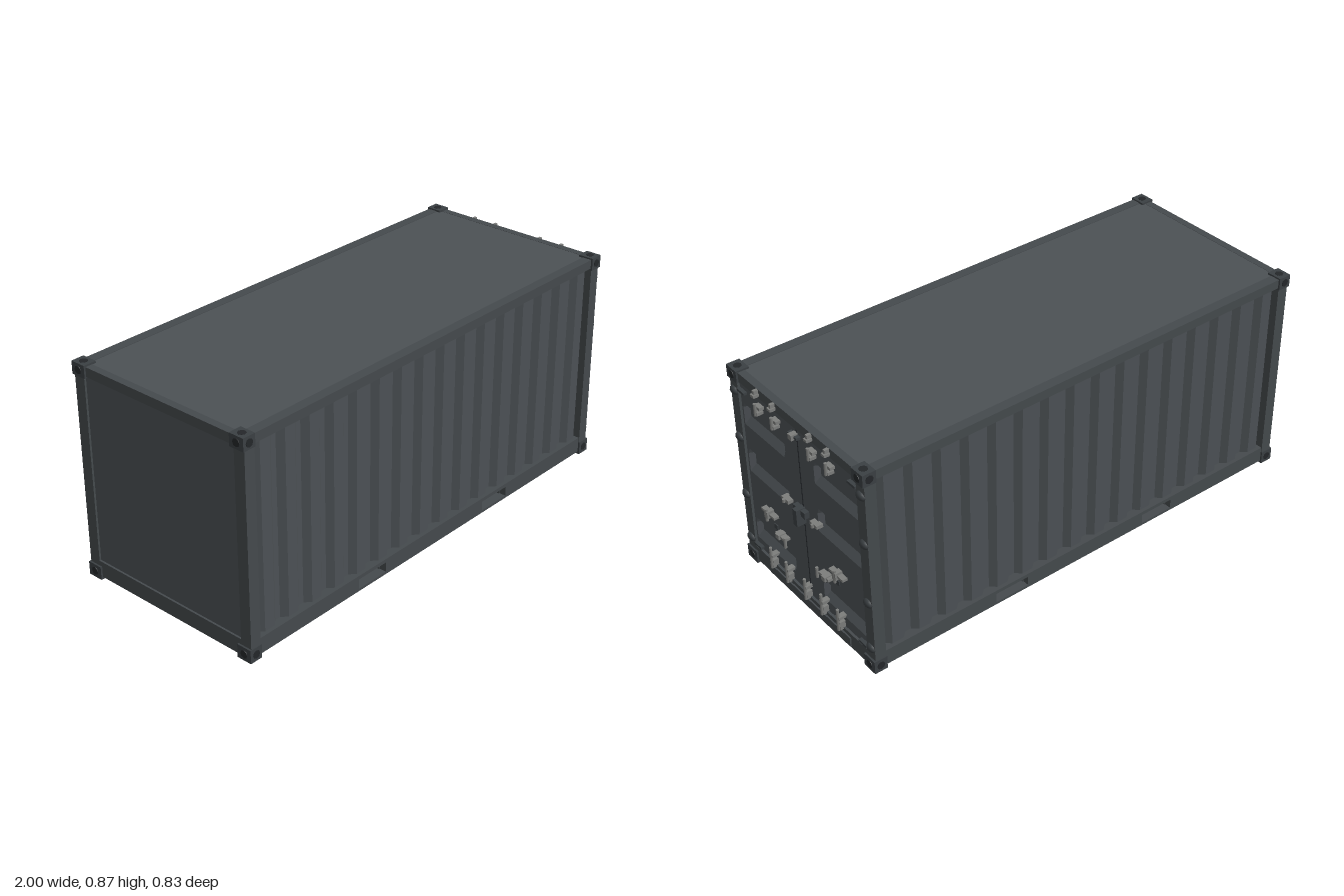
import * as THREE from 'three';

const material = (name, color) => new THREE.MeshStandardMaterial({ name, color });

export function createModel() {
  const root = new THREE.Group();
  root.name = 'shippingContainer';
  const body = new THREE.Group();
  body.name = 'containerBody';
  body.position.x = -0.0125; // leaves room for the door gear at +x
  root.add(body);

  const panelMat = material('panel grey', 0x4c5155);
  const frameMat = material('frame grey', 0x454a4d);
  const cornerMat = material('casting grey', 0x3b4043);
  const darkMat = material('opening dark', 0x24272a);
  const gearMat = material('gear steel', 0x7c7d7b);

  const add = (name, geo, mat, x = 0, y = 0, z = 0) => {
    const m = new THREE.Mesh(geo, mat);
    m.name = name;
    m.position.set(x, y, z);
    body.add(m);
    return m;
  };
  // Box given by its limits on each axis
  const span = (name, mat, x0, x1, y0, y1, z0, z1) =>
    add(name, new THREE.BoxGeometry(x1 - x0, y1 - y0, z1 - z0), mat, (x0 + x1) / 2, (y0 + y1) / 2, (z0 + z1) / 2);

  const L = 0.9875, W = 0.415, H = 0.873;

  // Roof, floor and underside
  span('roof', panelMat, -0.975, 0.975, 0.85, 0.865, -0.405, 0.405);
  span('floor', panelMat, -0.97, 0.97, 0.064, 0.074, -0.39, 0.39);
  span('underside', panelMat, -0.97, 0.97, 0.01, 0.018, -0.39, 0.39);

  // Corrugated side wall, one trapezoid rib per step
  const ribs = 16, half = 0.94, pitch = (2 * half) / ribs;
  const wallShape = new THREE.Shape();
  wallShape.moveTo(-half, -0.36);
  for (let i = 0; i < ribs; i++) {
    const x = -half + i * pitch;
    [[0, 0.372], [0.2, 0.372], [0.4, 0.393], [0.8, 0.393], [1, 0.372]]
      .forEach(([t, z]) => wallShape.lineTo(x + t * pitch, -z));
  }
  wallShape.lineTo(half, -0.36);
  const wallGeo = new THREE.ExtrudeGeometry(wallShape, { depth: 0.77, bevelEnabled: false });
  wallGeo.rotateX(-Math.PI / 2);

  // Bottom side rail with two fork pockets
  const pockets = [[-0.43, -0.28], [0.29, 0.44]];
  const railShape = new THREE.Shape();
  railShape.moveTo(-0.95, 0.01).lineTo(0.95, 0.01).lineTo(0.95, 0.075).lineTo(-0.95, 0.075).closePath();
  for (const [a, b] of pockets) {
    const hole = new THREE.Path();
    hole.moveTo(a, 0.02).lineTo(a, 0.06).lineTo(b, 0.06).lineTo(b, 0.02).closePath();
    railShape.holes.push(hole);
    for (const x of [a, b]) span('pocketWall', frameMat, x - 0.004, x + 0.004, 0.018, 0.064, -0.38, 0.38);
  }
  const railGeo = new THREE.ExtrudeGeometry(railShape, { depth: 0.04, bevelEnabled: false });

  for (const s of [1, -1]) {
    const wall = add('corrugatedWall', wallGeo, panelMat, 0, 0.07, 0);
    if (s < 0) wall.rotation.y = Math.PI;
    add('bottomSideRail', railGeo, frameMat, 0, 0, s > 0 ? 0.368 : -0.408);
    span('topSideRail', frameMat, -0.95, 0.95, 0.83, 0.867, s * 0.388 - 0.02, s * 0.388 + 0.02);
  }

  // Corner posts, end rails and corner castings
  const discGeo = new THREE.CylinderGeometry(0.016, 0.016, 0.004, 8);
  for (const sx of [1, -1]) {
    span('endHeader', frameMat, sx * 0.965 - 0.015, sx * 0.965 + 0.015, 0.828, 0.866, -0.37, 0.37);
    span('endSill', frameMat, sx * 0.965 - 0.015, sx * 0.965 + 0.015, 0.01, 0.075, -0.37, 0.37);
    for (const sz of [1, -1]) {
      span('cornerPost', frameMat, sx * 0.957 - 0.023, sx * 0.957 + 0.023, 0.04, 0.84, sz * 0.387 - 0.024, sz * 0.387 + 0.024);
      for (const top of [0, 1]) {
        const cx = sx * (L - 0.027), cz = sz * (W - 0.032), cy = top ? H - 0.025 : 0.027;
        add('cornerCasting', new THREE.BoxGeometry(0.054, top ? 0.05 : 0.054, 0.064), cornerMat, cx, cy, cz);
        add('castingHole', discGeo, darkMat, sx * L, cy, cz).rotation.z = Math.PI / 2;
        add('castingHole', discGeo, darkMat, cx, cy, sz * W).rotation.x = Math.PI / 2;
        add('castingHole', discGeo, darkMat, cx, top ? H - 0.001 : 0.002, cz);
      }
    }
  }

  // Plain end wall
  span('endWall', panelMat, -0.972, -0.95, 0.07, 0.835, -0.37, 0.37);

  // Door skin: grid of breakpoints, with three pressed recesses per leaf
  const zs = [-0.37, -0.355, -0.345, -0.1, -0.09, 0.09, 0.1, 0.345, 0.355, 0.37];
  const ys = [0.07, 0.12, 0.15, 0.19, 0.215, 0.43, 0.46, 0.51, 0.535, 0.64, 0.67, 0.715, 0.735, 0.835];
  const inRecess = (i, j) => (j % 4 === 2 || j % 4 === 3) && j < 12 && [2, 3, 6, 7].includes(i);
  const pos = [], index = [];
  ys.forEach((y, j) => zs.forEach((z, i) => pos.push(inRecess(i, j) ? 0.948 : 0.97, y, z)));
  for (let j = 0; j < ys.length - 1; j++) {
    for (let i = 0; i < zs.length - 1; i++) {
      const a = j * zs.length + i, b = a + zs.length;
      index.push(a, b, a + 1, a + 1, b, b + 1);
    }
  }
  let doorGeo = new THREE.BufferGeometry();
  doorGeo.setAttribute('position', new THREE.Float32BufferAttribute(pos, 3));
  doorGeo.setIndex(index);
  doorGeo = doorGeo.toNonIndexed();
  doorGeo.computeVertexNormals();
  add('doorSkin', doorGeo, panelMat);
  span('doorSeam', darkMat, 0.968, 0.972, 0.075, 0.83, -0.002, 0.002);
  span('sillPlate', frameMat, 0.96, 0.986, 0.018, 0.058, -0.262, 0.26);

  // Door gear: plates standing off the door, placed by z, y, width, height
  const gear = (name, z, y, w, h, out, mat = gearMat) =>
    span(name, mat, 0.965, out, y - h / 2, y + h / 2, z - w / 2, z + w / 2);
  const rodGeo = new THREE.CylinderGeometry(0.006, 0.006, 1, 8);
  const rod = (name, z, y, h) => add(name, rodGeo, gearMat, 0.996, y, z).scale.y = h;

  for (const z of [0.225, 0.12, -0.105, -0.21]) {
    gear('camKeeper', z, 0.85, 0.012, 0.03, 0.998);
    gear('camKeeperEar', z, 0.845, 0.02, 0.01, 1.004);
    gear('upperGuide', z, 0.79, 0.034, 0.012, 0.99);
    gear('upperGuideCap', z, 0.768, 0.022, 0.012, 0.996);
    rod('upperRodEnd', z, 0.785, 0.05);
  }
  for (const z of [0.225, 0.12, 0, -0.105, -0.21]) {
    gear('lowerGuide', z, 0.125, 0.022, 0.012, 0.998);
    gear('lowerKeeper', z, 0.085, 0.014, 0.035, 0.994);
    rod('lowerRodEnd', z, 0.115, 0.096);
  }
  gear('topCatch', 0.005, 0.793, 0.056, 0.01, 0.988, cornerMat);
  gear('topCatchBlock', 0.005, 0.793, 0.022, 0.022, 0.998);
  gear('lockPlate', 0.003, 0.468, 0.074, 0.026, 0.99, cornerMat);
  gear('lockBox', 0.003, 0.45, 0.024, 0.07, 1.008, cornerMat);

  for (const s of [1, -1]) {
    const o = 0.0075; // gear is set slightly towards +z
    gear('middleGuide', s * 0.09, 0.467, 0.044, 0.014, 0.992);
    rod('middleRodStub', s * 0.09, 0.467, 0.014);
    gear('handleHub', s * 0.2175 + o, 0.32, 0.022, 0.03, 1.0);
    gear('handleBar', s * 0.2175 + o, 0.32, 0.086, 0.01, 0.992);
    rod('handleRod', s * 0.2175 + o, 0.318, 0.055);
    gear('latchBar', s * 0.14 + o, 0.262, 0.062, 0.011, 0.995);
    gear('latchBlock', s * 0.148 + o, 0.262, 0.022, 0.02, 1.002);
    rod('latchRod', s * 0.1025 + o, 0.26, 0.045);
    gear('latchPad', s * 0.1975 + o, 0.262, 0.021, 0.021, 0.974, cornerMat);
    for (const y of [0.793, 0.09]) gear('hingePin', s * 0.34, y, 0.046, 0.01, 0.985, cornerMat);
    // Rounded hinge knuckles
    for (const y of [0.775, 0.57, 0.31, 0.103]) {
      const k = add('hingeKnuckle', new THREE.SphereGeometry(1, 12, 8), cornerMat, 0.978, y, s * 0.388);
      k.scale.set(0.016, 0.018, 0.024);
    }
  }
  return root;
}
